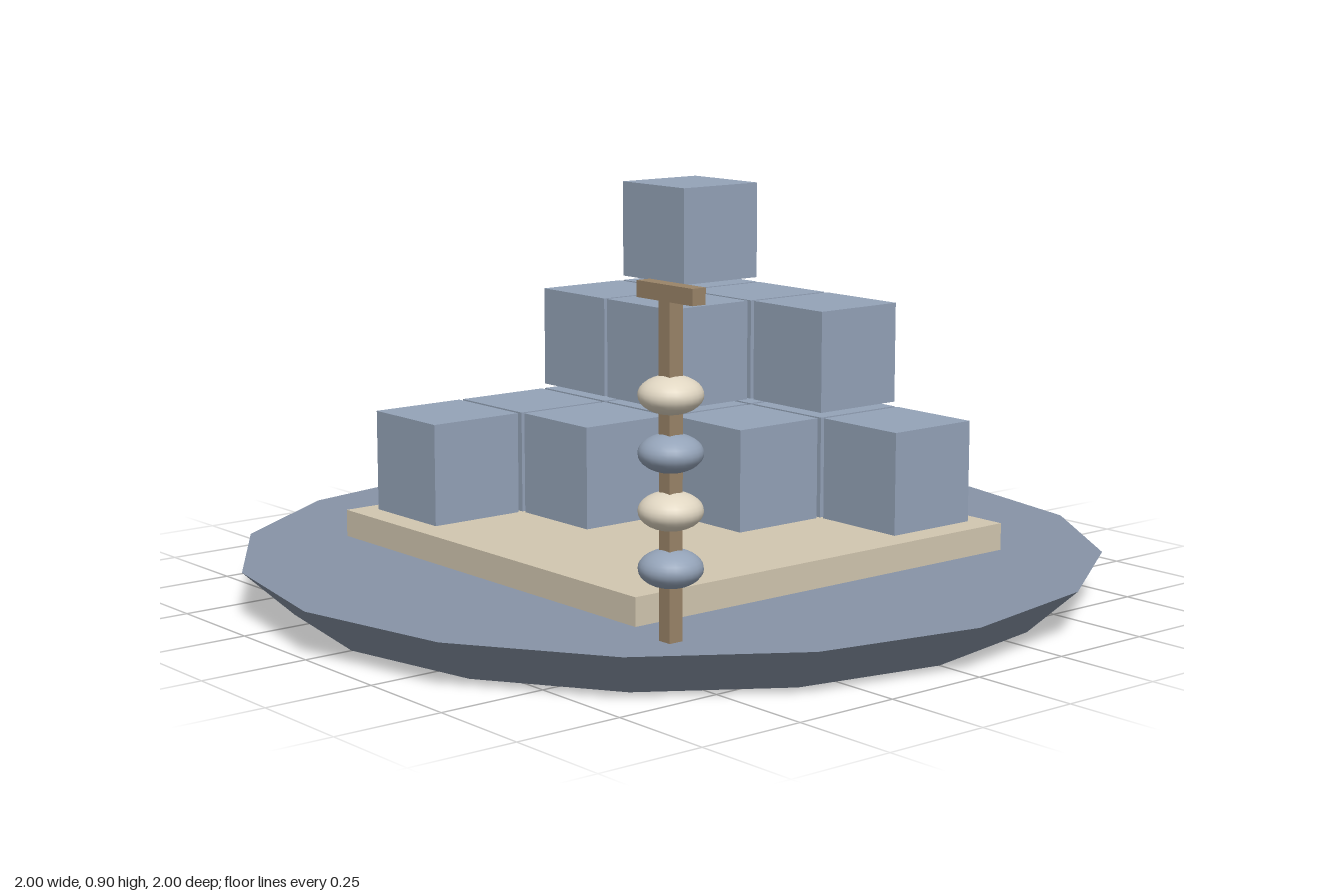
import * as THREE from 'three';

const material = (color) => new THREE.MeshStandardMaterial({ color });

export function createModel() {
  const model = new THREE.Group();
  const slate = material(0x8793a6);
  const blue = material(0x94a3b8);
  const sand = material(0xd2c7b0);
  const cream = material(0xe0d6c2);
  const wood = material(0x9a8468);

  const add = (name, geometry, mat, x, y, z, parent = model) => {
    const mesh = new THREE.Mesh(geometry, mat);
    mesh.name = name;
    mesh.position.set(x, y, z);
    parent.add(mesh);
    return mesh;
  };

  // Sixteen-sided tapered base and square board
  add('base', new THREE.CylinderGeometry(1, 0.885, 0.105, 16), slate, 0, 0.0525, 0);
  add('board', new THREE.BoxGeometry(1.085, 0.063, 1.085), sand, 0, 0.1365, 0);

  // Stacked cubes: for each layer, the number of cubes in each row from the back
  const layers = [[4, 3, 2, 1], [3, 2], [1]];
  const pitch = 0.247;
  const cube = new THREE.BoxGeometry(0.236, 0.236, 0.236);
  const cubes = new THREE.Group();
  cubes.name = 'cubeStack';
  model.add(cubes);
  layers.forEach((rows, level) => rows.forEach((count, row) => {
    for (let i = 0; i < count; i++) {
      add('cube', cube, blue,
        (i - 1.5) * pitch, 0.289 + level * pitch, (row - 1.5) * pitch, cubes);
    }
  }));

  // Bead post with crossbar
  const post = new THREE.Group();
  post.name = 'beadPost';
  post.position.set(0.673, 0, 0.556);
  model.add(post);
  add('post', new THREE.BoxGeometry(0.034, 0.71, 0.034), wood, 0, 0.455, 0, post);
  add('crossbar', new THREE.BoxGeometry(0.173, 0.034, 0.034), wood, 0, 0.815, 0, post);

  // Flattened beads in alternating colours
  const bead = new THREE.SphereGeometry(0.067, 24, 16);
  bead.scale(1, 0.6, 1);
  for (let i = 0; i < 4; i++) {
    add('bead', bead, i % 2 ? cream : blue, 0, 0.256 + i * 0.118, 0, post);
  }

  return model;
}
